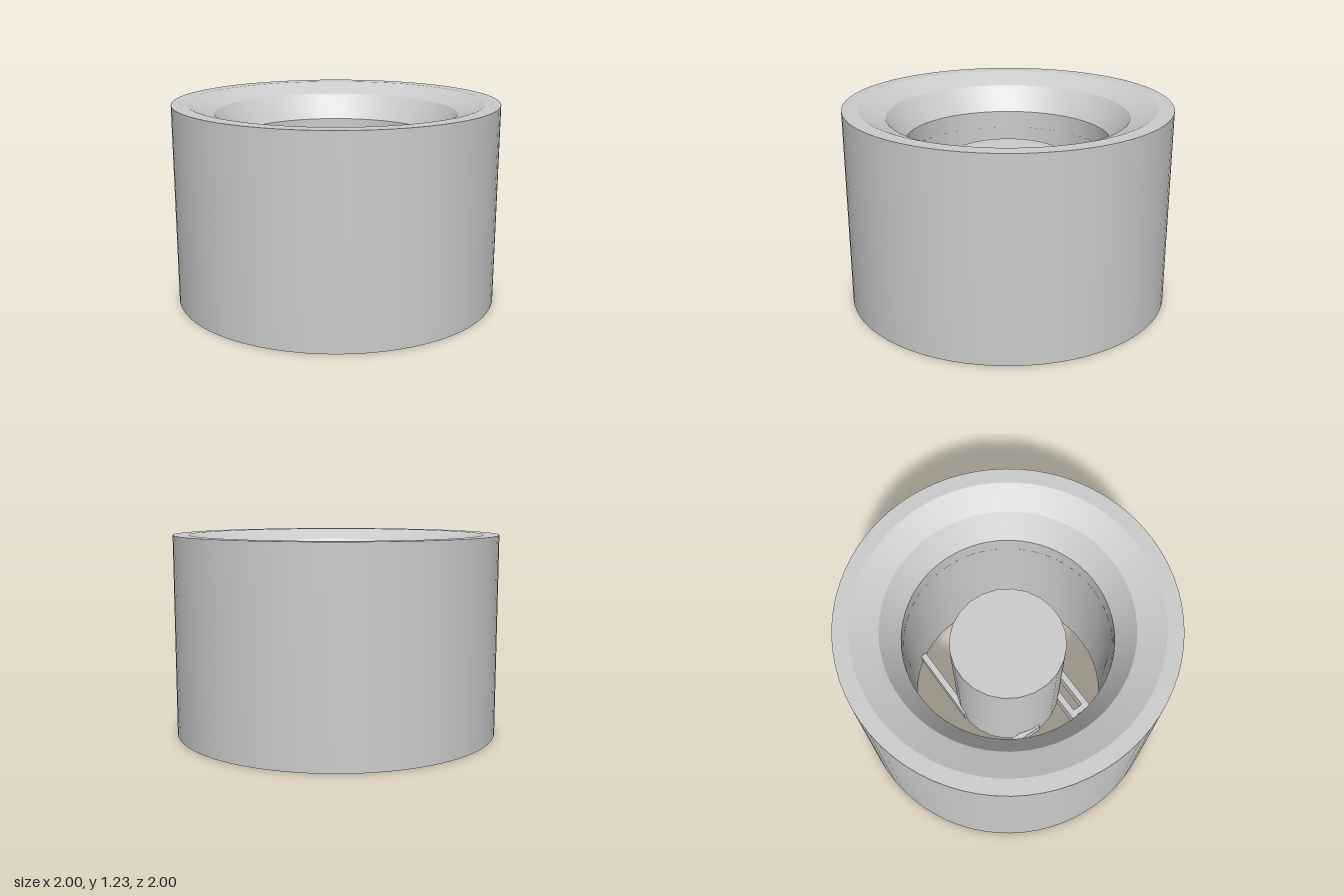
import * as THREE from 'three';
import { toCreasedNormals } from 'three/addons/utils/BufferGeometryUtils.js';

const H = 1.23;         // total height
const FAN = 0.9;        // depth of fan frame and pocket
const BORE = 0.63, HUB = 0.355;
const POCKET = 0.665, FRAME = 0.643;   // half sides

const material = new THREE.MeshStandardMaterial({ color: 0xcccccc });

function add(parent, name, geometry, crease = 0.4) {
  const mesh = new THREE.Mesh(toCreasedNormals(geometry, crease), material);
  mesh.name = name;
  parent.add(mesh);
  return mesh;
}

function square(h) {
  return new THREE.Shape([[-h, -h], [h, -h], [h, h], [-h, h]].map(p => new THREE.Vector2(...p)));
}

function circle(r, x = 0, y = 0) {
  return new THREE.Shape().absarc(x, y, r, 0, Math.PI * 2, false);
}

export function createModel() {
  const model = new THREE.Group();

  // Round duct: outer wall, flat rim, bell mouth, short throat
  const shell = new THREE.Group();
  shell.name = 'ductShell';
  model.add(shell);
  const profile = [[1, 0], [1, H], [0.905, H], [0.742, 1.165], [BORE, 1.01], [BORE, FAN]]
    .map(p => new THREE.Vector2(...p));
  add(shell, 'ductBody', new THREE.LatheGeometry(profile, 72), 0.3);

  // Underside with the square pocket opening
  const underside = circle(1);
  underside.holes.push(square(POCKET));
  add(shell, 'underside', new THREE.ShapeGeometry(underside, 72).rotateX(Math.PI / 2));

  // Pocket ceiling and walls
  const ceiling = square(POCKET);
  ceiling.holes.push(circle(BORE));
  add(shell, 'pocketCeiling', new THREE.ShapeGeometry(ceiling, 72).rotateX(Math.PI / 2)).position.y = FAN;
  for (let i = 0; i < 4; i++) {
    add(shell, 'pocketWall', new THREE.PlaneGeometry(2 * POCKET, FAN)
      .translate(0, FAN / 2, -POCKET).rotateY(i * Math.PI / 2));
  }

  // Fan frame: square block with bore and four screw holes
  const fan = new THREE.Group();
  fan.name = 'fan';
  model.add(fan);
  const frame = square(FRAME);
  frame.holes.push(circle(BORE));
  for (const x of [-0.512, 0.512]) {
    for (const y of [-0.512, 0.512]) frame.holes.push(circle(0.076, x, y));
  }
  add(fan, 'fanFrame', new THREE.ExtrudeGeometry(frame, { depth: FAN, bevelEnabled: false, curveSegments: 24 })
    .rotateX(-Math.PI / 2));

  // Motor hub
  add(fan, 'hub', new THREE.CylinderGeometry(HUB, HUB, FAN, 24).translate(0, FAN / 2, 0));

  // Struts run tangentially from the hub to the bore, at the bottom
  const strutHeight = 0.09, strutWidth = 0.042;
  const bar = (parent, name, t0, t1, z0, z1) =>
    add(parent, name, new THREE.BoxGeometry(t1 - t0, strutHeight, z1 - z0)
      .translate(-(t0 + t1) / 2, strutHeight / 2 + 0.001, (z0 + z1) / 2));
  const half = strutWidth / 2;
  for (let i = 0; i < 4; i++) {
    const arm = new THREE.Group();
    arm.name = 'strutArm';
    arm.rotation.y = (40 + 90 * i) * Math.PI / 180;
    fan.add(arm);
    bar(arm, 'strut', 0, 0.524, 0.345 - half, 0.345 + half);
    if (i === 0) {
      // Cable channel beside one strut
      bar(arm, 'cableStrut', 0.25, 0.582, 0.235 - half, 0.235 + half);
      bar(arm, 'cableBridge', 0.41, 0.45, 0.235 + half, 0.345 - half);
    }
  }
  return model;
}
